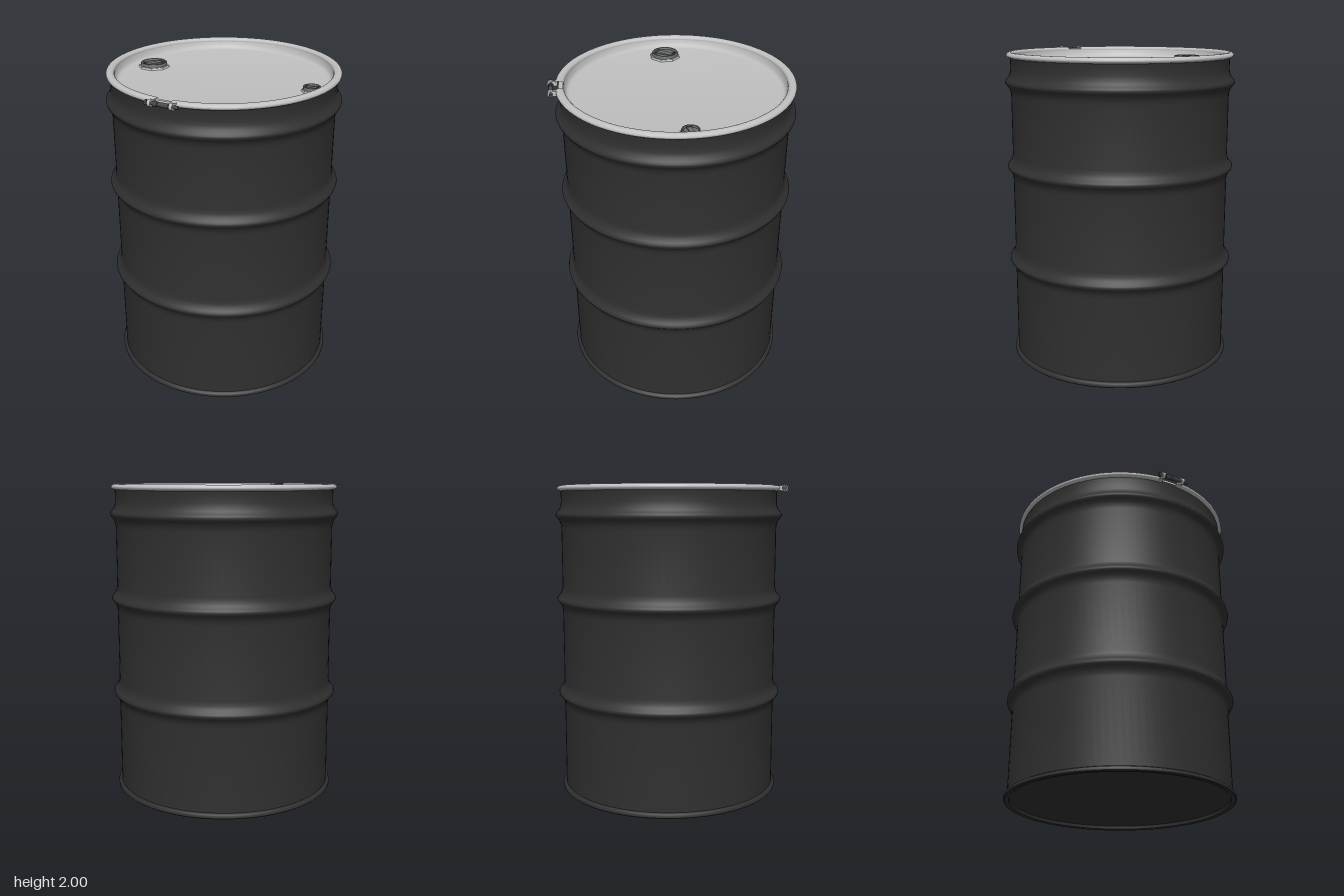
import * as THREE from 'three';
import { toCreasedNormals } from 'three/addons/utils/BufferGeometryUtils.js';

const SEG = 96;

export function createModel() {
  const model = new THREE.Group();
  model.name = 'steelDrum';
  const mat = (name, color) => {
    const m = new THREE.MeshStandardMaterial({ color });
    m.name = name;
    return m;
  };
  const black = mat('blackPaint', 0x303030);
  const steel = mat('lightSteel', 0xc0c0c0);
  const grey = mat('plugGrey', 0x6c706e);
  const dark = mat('boltDark', 0x484a4a);

  const add = (parent, name, geometry, material, x = 0, y = 0, z = 0) => {
    const mesh = new THREE.Mesh(geometry, material);
    mesh.name = name;
    mesh.position.set(x, y, z);
    parent.add(mesh);
    return mesh;
  };
  const lathe = (pts, seg = SEG, start = 0, arc = Math.PI * 2) => toCreasedNormals(
    new THREE.LatheGeometry(pts.map(([r, y]) => new THREE.Vector2(r, y)), seg, start, arc), 0.7);

  const drum = new THREE.Group();
  drum.name = 'drum';
  drum.position.z = -0.018;
  model.add(drum);

  // Shell with three rolling hoops: concave flanks and a rounded crest
  const hoop = [[0.7, -0.085], [0.703, -0.06], [0.711, -0.038], [0.724, -0.021], [0.733, -0.01],
    [0.736, 0], [0.733, 0.01], [0.724, 0.021], [0.711, 0.038], [0.703, 0.06], [0.7, 0.085]];
  const shell = [[0.7, 0.03]];
  for (const y of [0.65, 1.27, 1.81]) for (const [r, dy] of hoop) shell.push([r, y + dy]);
  shell.push([0.7, 1.94], [0.705, 1.975]);
  add(drum, 'shell', lathe(shell), black);

  // Bottom rolled seam and recessed base
  add(drum, 'bottomSeam', lathe([[0.685, 0.03], [0.688, 0.004], [0.695, 0], [0.712, 0], [0.719, 0.006],
    [0.72, 0.018], [0.715, 0.027], [0.7, 0.034]]), black);
  add(drum, 'base', lathe([[0, 0.025], [0.687, 0.025]]), black);

  // Dished lid
  add(drum, 'lid', lathe([[0.71, 1.97], [0.705, 1.985], [0.69, 1.987], [0.678, 1.982], [0.672, 1.965],
    [0.667, 1.94], [0.655, 1.929], [0.64, 1.927], [0, 1.927]]), steel);

  // Split closing ring with its gap at the front
  const gap = 0.07;
  const ring = [];
  for (let i = 0; i <= 14; i++) {
    const a = -Math.PI / 2 + (i / 14) * Math.PI * 1.5;
    ring.push([0.7 + 0.026 * Math.cos(a), 1.979 + 0.018 * Math.sin(a)]);
  }
  ring.push([0.675, 1.965]);
  ring.unshift([0.675, 1.965]);
  add(drum, 'closingRing', lathe(ring, SEG, gap, Math.PI * 2 - gap * 2), steel);

  // Clamp: two lugs with a bolt and nuts through them
  const clamp = new THREE.Group();
  clamp.name = 'clamp';
  clamp.position.set(0.005, 1.979, 0.732);
  model.add(clamp);
  const alongX = (r, len, seg) => new THREE.CylinderGeometry(r, r, len, seg).rotateZ(Math.PI / 2);
  for (const s of [-1, 1]) {
    add(clamp, 'lug', alongX(0.021, 0.02, 20), steel, s * 0.07);
    add(clamp, 'lugArm', new THREE.BoxGeometry(0.02, 0.03, 0.04), steel, s * 0.07, 0, -0.022);
  }
  add(clamp, 'bolt', alongX(0.01, 0.215, 16), dark, 0.003);
  add(clamp, 'boltHead', alongX(0.017, 0.016, 6), dark, -0.094);
  add(clamp, 'nut', alongX(0.016, 0.03, 6), dark, -0.035);
  add(clamp, 'sleeve', alongX(0.014, 0.06, 16), dark, 0.02);

  // Screw plugs: octagonal flange, rimmed cup and a raised wrench grip
  const plug = (name, x, r, turn) => {
    const g = new THREE.Group();
    g.name = name;
    g.position.set(x, 1.927, -0.018);
    drum.add(g);
    g.position.z = 0;
    const flange = new THREE.CylinderGeometry(r * 1.13, r * 1.2, 0.012, 8).rotateY(Math.PI / 8);
    add(g, 'flange', toCreasedNormals(flange, 0.4), steel, 0, 0.005);
    add(g, 'cup', lathe([[r, 0.008], [r, 0.027], [r * 0.96, 0.031], [r * 0.86, 0.031],
      [r * 0.82, 0.027], [r * 0.82, 0.018], [0, 0.018]], 40), grey);
    const grip = new THREE.Group();
    grip.name = 'grip';
    grip.rotation.y = turn;
    g.add(grip);
    // Waisted bar with a pair of end blocks
    const w = r * 0.36, l = r * 0.7;
    const s = new THREE.Shape();
    s.moveTo(-l, -w);
    s.quadraticCurveTo(0, -w * 0.3, l, -w);
    s.lineTo(l, w);
    s.quadraticCurveTo(0, w * 0.3, -l, w);
    s.closePath();
    const bar = new THREE.ExtrudeGeometry(s, { depth: 0.009, bevelEnabled: false, curveSegments: 8 });
    add(grip, 'bar', bar.rotateX(-Math.PI / 2), grey, 0, 0.017);
    for (const side of [-1, 1]) {
      add(grip, 'endBlock', new THREE.BoxGeometry(r * 0.14, 0.013, w * 1.9), dark, side * r * 0.64, 0.022);
    }
  };
  plug('largePlug', -0.51, 0.084, 1.0);
  plug('smallPlug', 0.585, 0.053, 0.1);

  return model;
}
